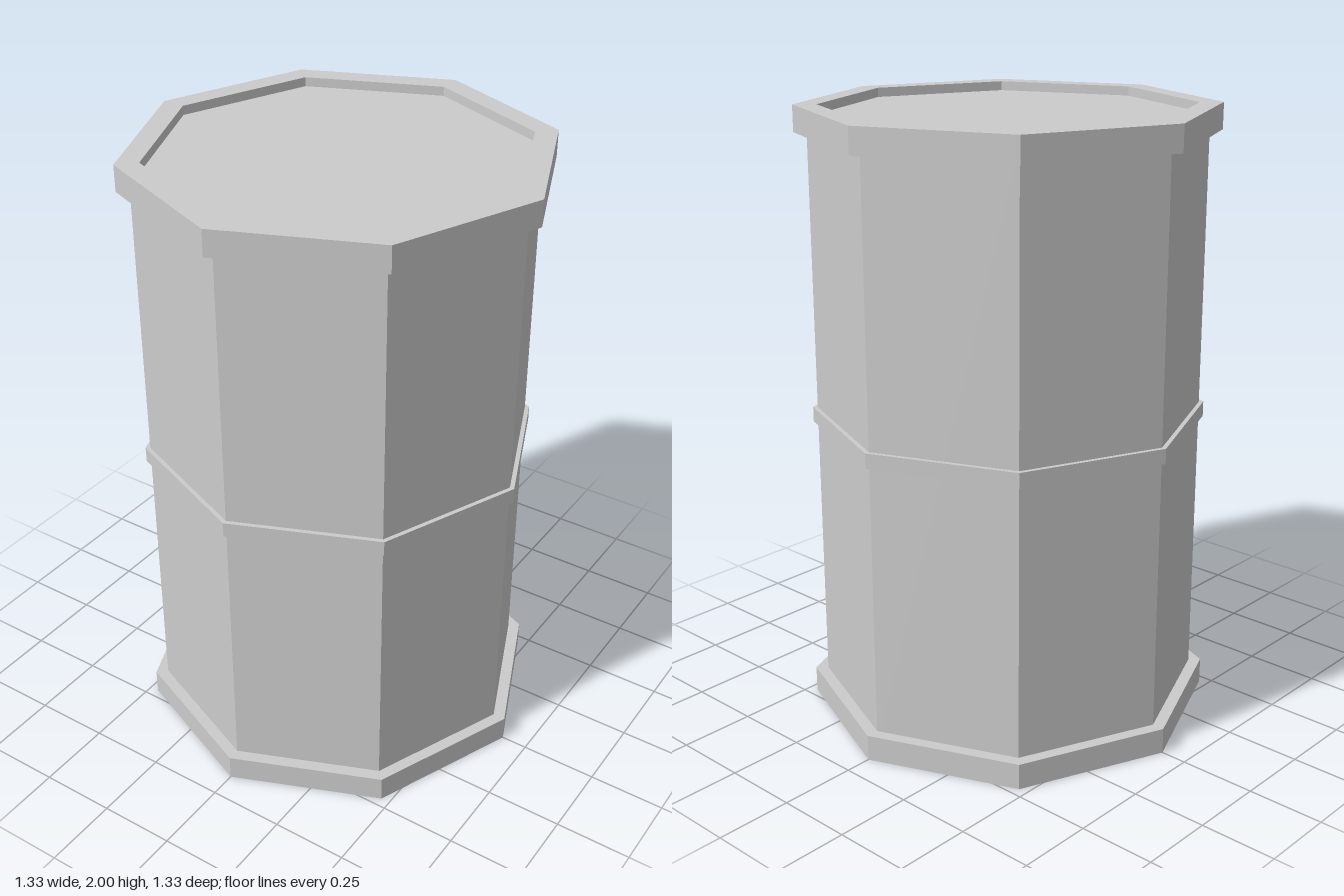
import * as THREE from 'three';

const SIDES = 8;
const material = new THREE.MeshStandardMaterial({ color: 0xcccccc, flatShading: true });

function addPart(group, name, geometry) {
  const faceted = geometry.toNonIndexed();
  faceted.computeVertexNormals();
  const mesh = new THREE.Mesh(faceted, material);
  mesh.name = name;
  group.add(mesh);
}

// Octagonal ring with a rectangular cross-section
function ring(inner, outer, bottom, top) {
  const profile = [[inner, bottom], [outer, bottom], [outer, top], [inner, top], [inner, bottom]];
  return new THREE.LatheGeometry(profile.map(([r, y]) => new THREE.Vector2(r, y)), SIDES);
}

export function createModel() {
  const barrel = new THREE.Group();
  barrel.name = 'barrel';

  // Body, whose end caps form the recessed lids inside the rims
  const recess = 0.03;
  const body = new THREE.CylinderGeometry(0.623, 0.623, 2 - 2 * recess, SIDES);
  addPart(barrel, 'body', body.translate(0, 1, 0));

  // Rims at both ends and the thin band around the middle
  addPart(barrel, 'bottomRim', ring(0.59, 0.664, 0, 0.085));
  addPart(barrel, 'topRim', ring(0.59, 0.664, 1.916, 2));
  addPart(barrel, 'middleBand', ring(0.61, 0.638, 0.978, 1.027));

  return barrel;
}
